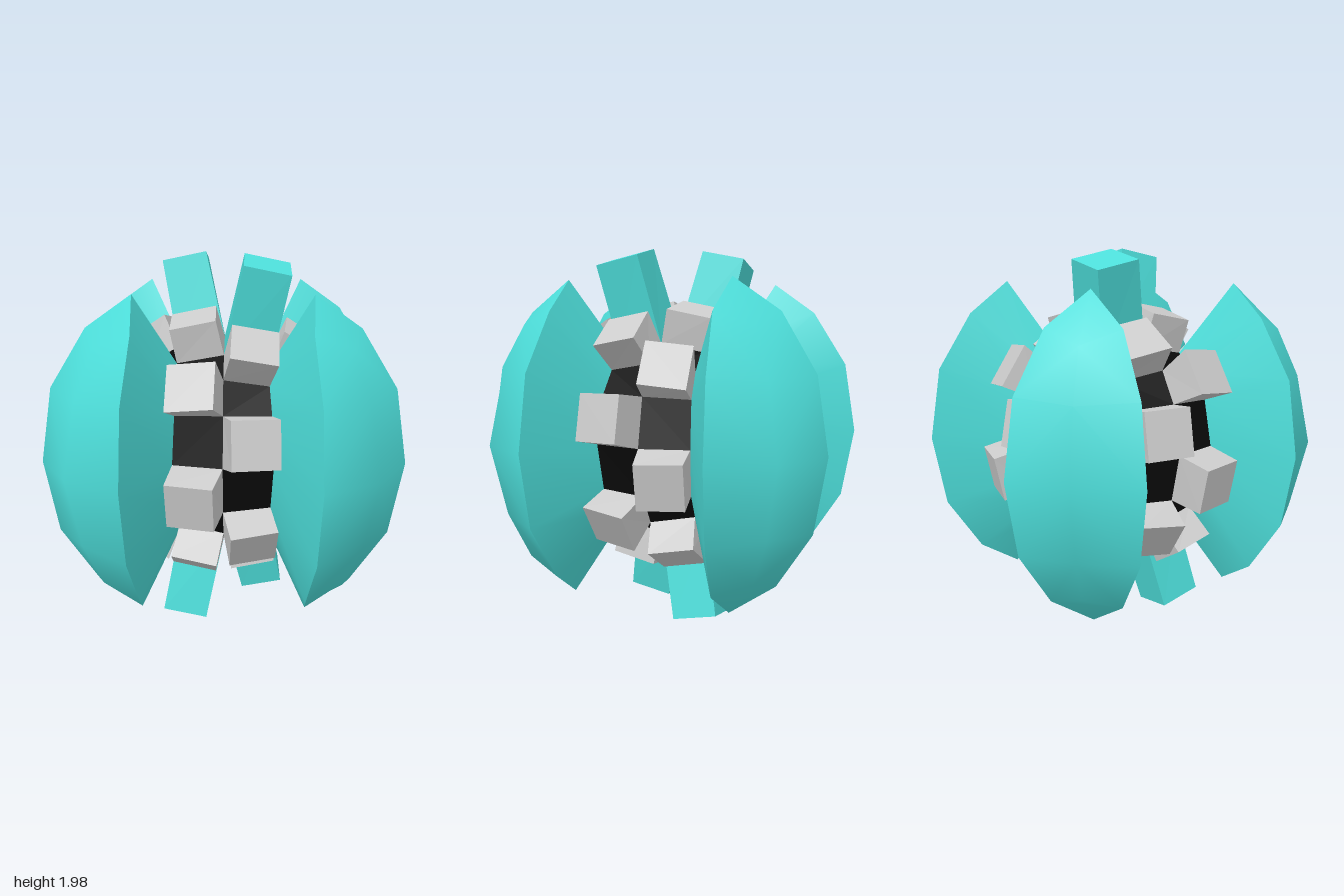
import * as THREE from 'three';
import { toCreasedNormals } from 'three/addons/utils/BufferGeometryUtils.js';

const CORE = 0.555;
const V = (x, y, z) => new THREE.Vector3(x, y, z);

// Rounded position of a cube-grid point (components -2..2), keyed by how many 2s and 1s it has
const RING = {
  '1,0': [1, 0], '1,1': [0.9, 0.45], '1,2': [0.82, 0.43],
  '2,0': [0.73, 0], '2,1': [0.66, 0.41], '3,0': [0.595, 0],
};
function spherePoint(g) {
  const c = g.toArray();
  const count = n => c.filter(a => Math.abs(a) === n).length;
  const [hi, mid] = RING[`${count(2)},${count(1)}`];
  return V(...c.map(a => Math.sign(a) * (Math.abs(a) === 2 ? hi : mid)));
}
const corePoint = g => spherePoint(g).multiplyScalar(CORE);

// Outer shell of the wedges, bulging a little around the middle rows
function shellPoint(g) {
  const p = spherePoint(g);
  return Math.abs(g.y) === 1 ? p.multiply(V(1.022, 0.87, 1.022)) : p;
}

// All cells of a cube with 4 x 4 cells per side, corners counter-clockwise from outside
function gridCells() {
  const cells = [];
  for (let axis = 0; axis < 3; axis++) for (const s of [1, -1]) {
    const n = V(0, 0, 0).setComponent(axis, s);
    const u = V(0, 0, 0).setComponent((axis + 1) % 3, 1);
    const v = n.clone().cross(u);
    const at = (i, j) => n.clone().multiplyScalar(2).addScaledVector(u, i).addScaledVector(v, j).round();
    for (let i = -2; i < 2; i++) for (let j = -2; j < 2; j++) {
      const corners = [at(i, j), at(i + 1, j), at(i + 1, j + 1), at(i, j + 1)];
      const centre = corners.reduce((sum, c) => sum.add(c), V(0, 0, 0)).multiplyScalar(0.25);
      cells.push({ corners, centre });
    }
  }
  return cells;
}

function quadGeometry(quads) {
  const pts = quads.flatMap(([a, b, c, d]) => [a, b, c, a, c, d]);
  const geo = new THREE.BufferGeometry().setFromPoints(pts);
  geo.computeVertexNormals();
  return geo;
}

// Block growing from one core cell to a square end
function blockGeometry(cell, length) {
  const base = cell.corners.map(corePoint);
  const [a, b, c, d] = base;
  const mid = V(0, 0, 0).add(a).add(b).add(c).add(d).multiplyScalar(0.25);
  const u = b.clone().sub(a).add(c).sub(d).normalize();
  const v = d.clone().sub(a).add(c).sub(b).normalize();
  const n = u.clone().cross(v).normalize();
  const h = 0.118;
  const end = [[-h, -h], [h, -h], [h, h], [-h, h]].map(([s, t]) =>
    mid.clone().addScaledVector(n, length).addScaledVector(u, s).addScaledVector(v, t));
  const walls = base.map((p, i) => [p, base[(i + 1) % 4], end[(i + 1) % 4], end[i]]);
  return quadGeometry([end, ...walls]);
}

// Wedge: a patch of shell cells joined to the core along its border
function wedgeGeometry(cells) {
  const id = (a, b) => `${a.toArray()}|${b.toArray()}`;
  const edges = new Map();
  for (const { corners } of cells) corners.forEach((a, i) => {
    const b = corners[(i + 1) % 4];
    edges.set(id(a, b), [a, b]);
  });
  const quads = cells.map(c => c.corners.map(shellPoint));
  for (const [a, b] of edges.values()) {
    if (!edges.has(id(b, a))) quads.push([corePoint(a), corePoint(b), shellPoint(b), shellPoint(a)]);
  }
  return toCreasedNormals(quadGeometry(quads), 0.95);
}

export function createModel() {
  const model = new THREE.Group();
  const grey = new THREE.MeshStandardMaterial({ color: 0xcccccc });
  const teal = new THREE.MeshStandardMaterial({ color: 0x4ddeda });
  const black = new THREE.MeshStandardMaterial({ color: 0x0a0a0a });
  const add = (name, geo, mat) => {
    const mesh = new THREE.Mesh(geo, mat);
    mesh.name = name;
    mesh.position.y = 1;
    model.add(mesh);
  };
  const cells = gridCells();

  // Dark core
  add('core', quadGeometry(cells.map(c => c.corners.map(corePoint))), black);

  // Four upright wedges on the diagonals
  const inWedge = c => Math.abs(c.x) > 1 && Math.abs(c.z) > 1;
  for (const sx of [1, -1]) for (const sz of [1, -1]) {
    const patch = cells.filter(({ centre: c }) => inWedge(c) && c.x * sx > 0 && c.z * sz > 0);
    add('wedge', wedgeGeometry(patch), teal);
  }

  // Chequered blocks on the bands between, with long posts at both poles
  for (const cell of cells) {
    const c = cell.centre;
    if (inWedge(c)) continue;
    const positive = c.x * c.y * c.z > 0;
    const pole = Math.abs(c.y) === 2 && Math.max(Math.abs(c.x), Math.abs(c.z)) < 1;
    const odd = pole || Math.abs(c.y) === 1.5;
    if (pole && positive) add('post', blockGeometry(cell, 0.46), teal);
    else if (positive !== odd) add('block', blockGeometry(cell, 0.18), grey);
  }
  return model;
}
